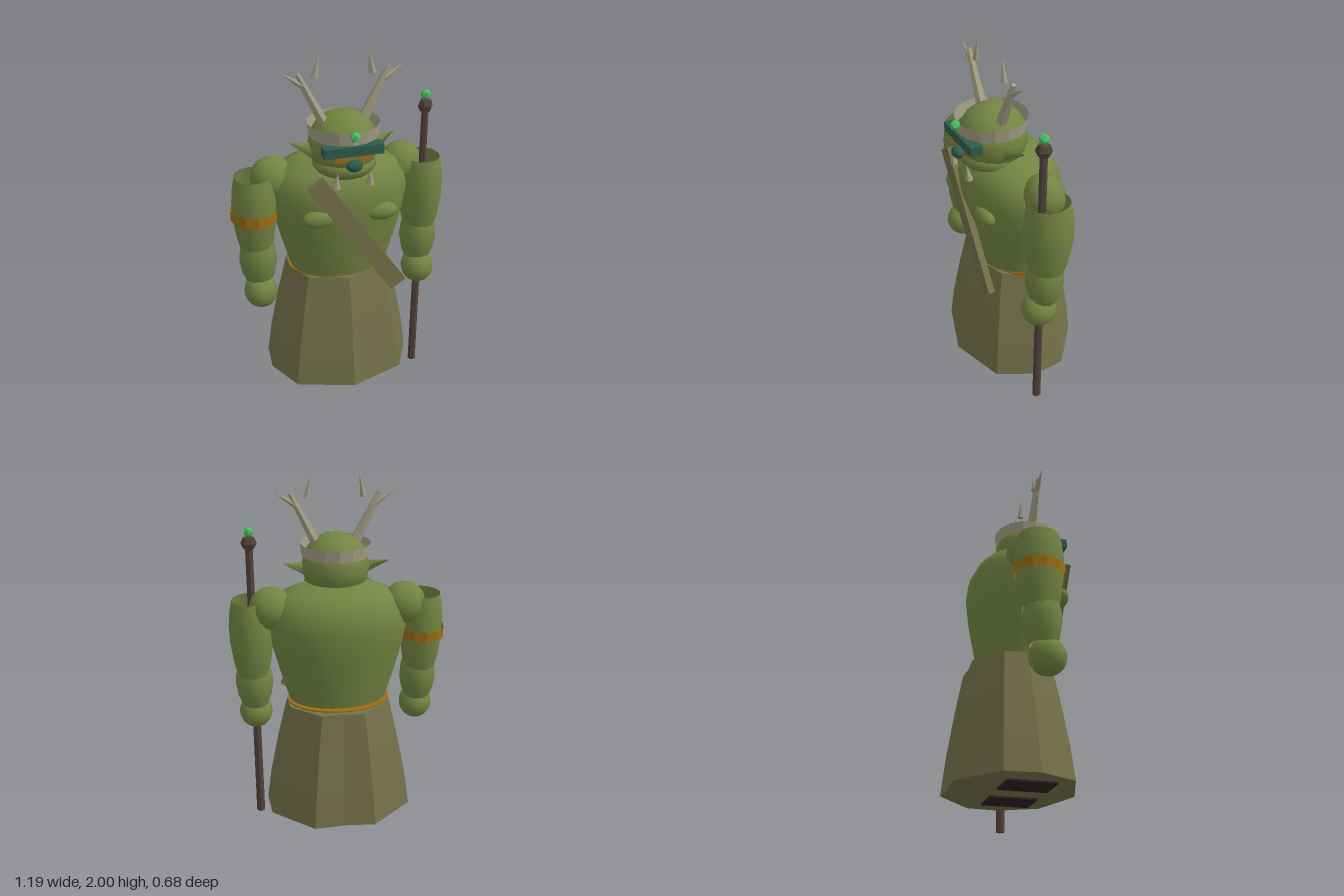
import * as THREE from 'three';

const mat = (name, color, opts = {}) => {
  const m = new THREE.MeshStandardMaterial({ color, ...opts });
  m.name = name;
  return m;
};

export function createModel() {
  const both = { side: THREE.DoubleSide };
  const flat = { flatShading: true };
  const skin = mat('green skin', 0x738442, both);
  const cloth = mat('olive cloth', 0x737149, { ...both, ...flat });
  const bone = mat('bone', 0xa39e84, { ...both, ...flat });
  const gold = mat('dull gold', 0x9c6c14, { ...both, ...flat });
  const teal = mat('dark teal', 0x2f5a4b, flat);
  const wood = mat('dark wood', 0x51423a, flat);
  const boot = mat('boot leather', 0x2c1e20, flat);
  const gem = mat('green gem', 0x46c262, flat);

  const model = new THREE.Group();
  model.name = 'hornedGuardian';
  const add = (name, geo, material, pos = [0, 0, 0], scale = [1, 1, 1]) => {
    const m = new THREE.Mesh(geo, material);
    m.name = name;
    m.position.set(...pos);
    m.scale.set(...scale);
    model.add(m);
    return m;
  };
  const ball = (name, material, pos, scale, w = 20, h = 14) =>
    add(name, new THREE.SphereGeometry(1, w, h), material, pos, scale);
  const lathe = (points, sides) =>
    new THREE.LatheGeometry(points.map(p => new THREE.Vector2(...p)), sides);
  // tapered rod between two points
  const rod = (name, material, a, b, r0, r1, sides = 6, depth = 1) => {
    const from = new THREE.Vector3(...a), to = new THREE.Vector3(...b);
    const dir = to.clone().sub(from);
    const m = add(name, new THREE.CylinderGeometry(r1, r0, dir.length(), sides), material,
      from.clone().add(to).multiplyScalar(0.5).toArray(), [1, 1, depth]);
    m.quaternion.setFromUnitVectors(new THREE.Vector3(0, 1, 0), dir.normalize());
    return m;
  };

  // skirt: uneven hem polygon lofted up to the waist, closed at both ends
  const half = [[0, 0.335], [0.31, 0.235], [0.415, 0.03], [0.4, -0.15], [0.17, -0.342], [0, -0.33]];
  const hem = [...half, ...half.slice(1, -1).reverse().map(([x, z]) => [-x, z])];
  const rings = [[0.11, 1], [0.3, 0.935], [0.54, 0.82], [0.77, 0.69]];
  const pos = [], idx = [], n = hem.length;
  for (const [y, s] of rings) {
    for (const [x, z] of hem) pos.push(x * s, y, z * s - (1 - s) * 0.04);
  }
  for (let r = 0; r < rings.length - 1; r++) {
    for (let i = 0; i < n; i++) {
      const a = r * n + i, b = r * n + (i + 1) % n;
      idx.push(a, b, a + n, b, b + n, a + n);
    }
  }
  const top = (rings.length - 1) * n;
  for (let i = 1; i < n - 1; i++) {
    idx.push(0, i + 1, i, top, top + i, top + i + 1);
  }
  const skirt = new THREE.BufferGeometry();
  skirt.setAttribute('position', new THREE.Float32BufferAttribute(pos, 3));
  skirt.setIndex(idx);
  skirt.computeVertexNormals();
  add('skirt', skirt, cloth);
  add('belt', new THREE.CylinderGeometry(0.285, 0.285, 0.03, 24), gold, [0, 0.762, -0.012], [1, 1, 0.72]);

  // torso and sash
  add('torso', lathe([[0.26, 0.74], [0.285, 0.82], [0.325, 0.96], [0.36, 1.1], [0.38, 1.22],
    [0.365, 1.31], [0.31, 1.385], [0.2, 1.43], [0, 1.45]], 28), skin, [0, 0, 0.005], [1, 1, 0.69]);
  const sash = add('sash', new THREE.BoxGeometry(0.1, 0.81, 0.035), cloth, [0.035, 1.05, 0.257]);
  sash.rotation.z = 0.604;

  // head
  ball('head', skin, [0, 1.515, 0.085], [0.183, 0.18, 0.183]);
  ball('jaw', skin, [0, 1.42, 0.1], [0.172, 0.082, 0.165], 16, 10);
  ball('nose', teal, [0, 1.47, 0.285], [0.045, 0.031, 0.031], 10, 8);
  add('blindfold', new THREE.BoxGeometry(0.31, 0.05, 0.065), teal, [0, 1.545, 0.252]);
  add('crownBand', new THREE.CylinderGeometry(0.191, 0.183, 0.068, 16, 1, true), bone, [0, 1.606, 0.09]);
  add('crownGem', new THREE.IcosahedronGeometry(0.029, 0), gem, [0, 1.627, 0.292]);

  for (const s of [-1, 1]) {
    const side = s > 0 ? 'left' : 'right';
    ball(side + 'Pec', skin, [s * 0.17, 1.165, 0.225], [0.09, 0.05, 0.045], 14, 10);
    add(side + 'Boot', new THREE.BoxGeometry(0.19, 0.08, 0.26), boot, [s * 0.175, 0.14, 0.03]);
    add(side + 'Eye', new THREE.BoxGeometry(0.075, 0.036, 0.03), gold, [s * 0.06, 1.505, 0.254]);
    rod(side + 'Tusk', bone, [s * 0.09, 1.35, 0.268], [s * 0.085, 1.44, 0.278], 0.022, 0, 6);
    rod(side + 'Ear', skin, [s * 0.16, 1.495, 0.095], [s * 0.29, 1.54, 0.055], 0.042, 0, 5, 0.7);

    // antler with two forked tips and a detached tine
    rod(side + 'AntlerBeam', bone, [s * 0.1, 1.63, 0.09], [s * 0.215, 1.86, 0.092], 0.031, 0.018);
    rod(side + 'AntlerFork', bone, [s * 0.2, 1.83, 0.092], [s * 0.237, 1.905, 0.092], 0.021, 0.012);
    rod(side + 'AntlerTip', bone, [s * 0.205, 1.84, 0.092], [s * 0.322, 1.915, 0.092], 0.02, 0);
    rod(side + 'AntlerTine', bone, [s * 0.15, 1.88, 0.095], [s * 0.128, 2, 0.095], 0.02, 0);

    // arm
    ball(side + 'Shoulder', skin, [s * 0.36, 1.32, -0.018], [0.118, 0.116, 0.108]);
    add(side + 'UpperArm', lathe([[0.085, 0.93], [0.102, 1], [0.118, 1.12], [0.12, 1.22],
      [0.112, 1.3], [0.1, 1.36]], 12), skin, [s * 0.469, 0, 0.018], [1, 1, 1.1]);
    add(side + 'Forearm', lathe([[0.07, 0.735], [0.092, 0.79], [0.104, 0.86], [0.1, 0.92],
      [0.085, 0.97]], 12), skin, [s * 0.464, 0, 0.03]);
    ball(side + 'Hand', skin, [s * 0.462, 0.678, 0.056], [0.093, 0.098, 0.098], 16, 12);
  }
  add('armband', new THREE.CylinderGeometry(0.125, 0.125, 0.055, 12, 1, true), gold,
    [-0.473, 1.143, 0.018], [1, 1, 1.1]);

  // staff
  rod('staffShaft', wood, [0.461, 0, 0.055], [0.461, 1.64, 0.055], 0.024, 0.02, 8);
  add('staffKnob', new THREE.SphereGeometry(0.042, 6, 4), wood, [0.461, 1.66, 0.055]);
  add('staffGem', new THREE.IcosahedronGeometry(0.028, 0), gem, [0.461, 1.72, 0.055]);
  return model;
}
